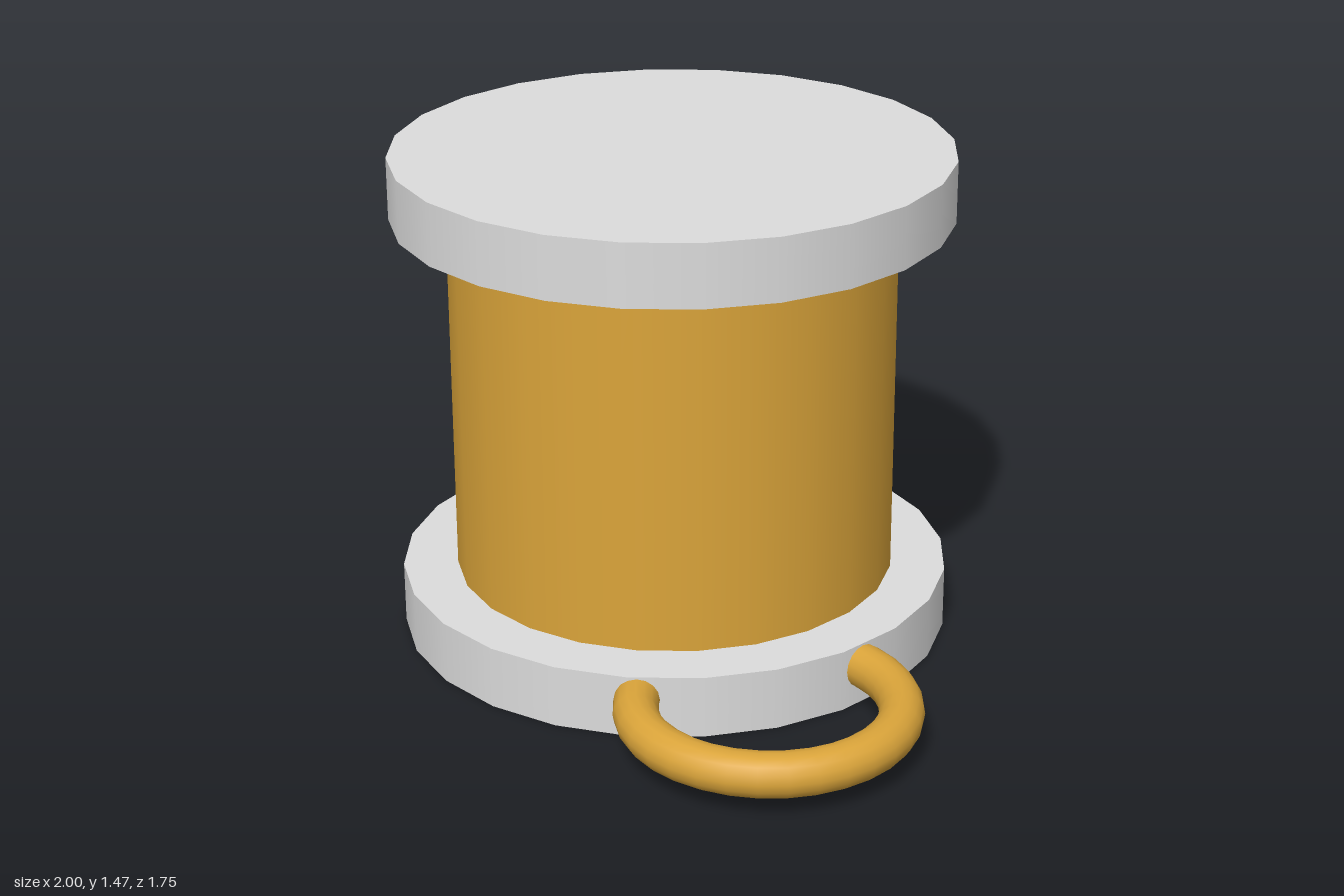
import * as THREE from 'three';

export function createModel() {
  const grey = new THREE.MeshStandardMaterial({ color: 0xdcdcdc });
  grey.name = 'light grey';
  const gold = new THREE.MeshStandardMaterial({ color: 0xdaa43a });
  gold.name = 'gold';

  const model = new THREE.Group();
  model.name = 'spool';
  const add = (name, geometry, material, x, y, z) => {
    const mesh = new THREE.Mesh(geometry, material);
    mesh.name = name;
    mesh.position.set(x, y, z);
    model.add(mesh);
    return mesh;
  };

  // Spool axis, flange thickness and overall height
  const x = -0.18, z = -0.055, flange = 0.185, height = 1.465;

  // End discs
  const disc = new THREE.CylinderGeometry(0.82, 0.82, flange, 24);
  add('bottomFlange', disc, grey, x, flange / 2, z);
  add('topFlange', disc, grey, x, height - flange / 2, z);

  // Wound core between the discs
  const coreHeight = height - 2 * flange;
  add('core', new THREE.CylinderGeometry(0.657, 0.657, coreHeight, 24, 1, true), gold, x, height / 2, z);

  // Loose ring lying flat, passing into the bottom disc
  const ring = add('ring', new THREE.TorusGeometry(0.37, 0.064, 16, 32), gold, 0.565, 0.115, 0.442);
  ring.rotation.x = Math.PI / 2;

  return model;
}
